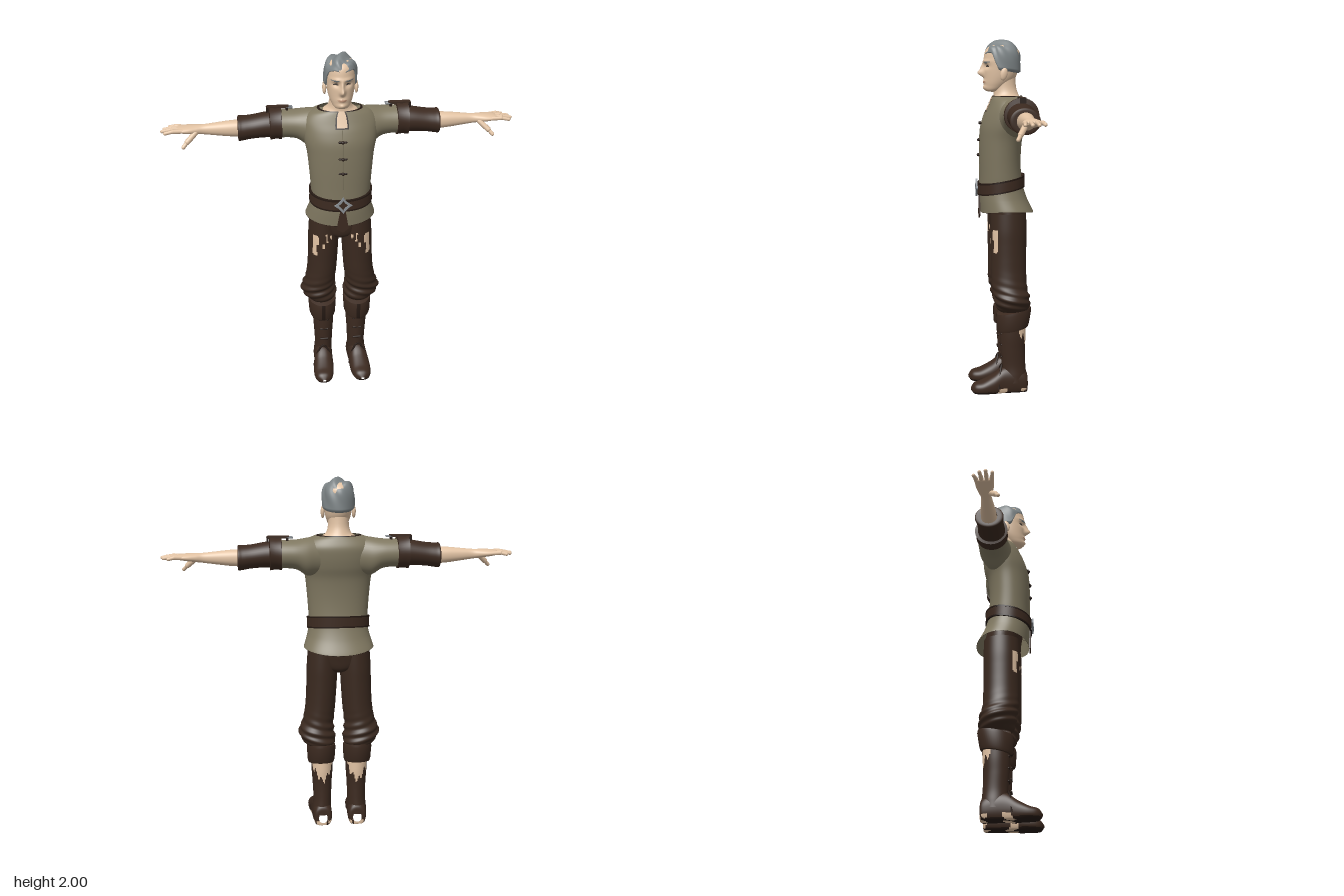
import * as THREE from 'three';
import { toCreasedNormals } from 'three/addons/utils/BufferGeometryUtils.js';

const mat = (name, color, side = THREE.FrontSide) => {
  const m = new THREE.MeshStandardMaterial({ color, side });
  m.name = name;
  return m;
};

// Closed tube-like surface; pick(angle, point) chooses the material of each face.
function surface(n, rows, point, pick = () => 0) {
  const pts = [], buckets = [];
  for (let j = 0; j <= rows; j++)
    for (let i = 0; i < n; i++) pts.push(point((i / n) * Math.PI * 2, j / rows));
  for (let j = 0; j < rows; j++)
    for (let i = 0; i < n; i++) {
      const a = j * n + i, b = j * n + ((i + 1) % n), c = b + n, d = a + n;
      const mid = [0, 1, 2].map(k => (pts[a][k] + pts[b][k] + pts[c][k] + pts[d][k]) / 4);
      let ang = ((i + 0.5) / n) * Math.PI * 2;
      if (ang > Math.PI) ang -= Math.PI * 2;
      (buckets[pick(ang, mid)] ??= []).push(a, b, c, a, c, d);
    }
  const g = new THREE.BufferGeometry(), index = [];
  g.setAttribute('position', new THREE.Float32BufferAttribute(pts.flat(), 3));
  buckets.forEach((f, k) => {
    g.addGroup(index.length, f.length, k);
    for (const v of f) index.push(v);
  });
  g.setIndex(index);
  g.computeVertexNormals();
  return g;
}

// Smooth loft through elliptical sections [t, centreU, centreV, radiusU, radiusV].
function loft(axis, secs, { n = 32, steps = 4, p = 2, bend, pick } = {}) {
  const last = secs.length - 1;
  const at = s => {
    const f = s * last, i = Math.min(Math.floor(f + 1e-9), last - 1), t = f - i;
    const [A, B, C, D] = [-1, 0, 1, 2].map(k => secs[Math.min(last, Math.max(0, i + k))]);
    return B.map((b, k) => b + 0.5 * t * (C[k] - A[k] + t * (2 * A[k] - 5 * b + 4 * C[k] - D[k] + t * (3 * (b - C[k]) + D[k] - A[k]))));
  };
  const pw = v => Math.sign(v) * Math.abs(v) ** (2 / p);
  return surface(n, last * steps, (a, s) => {
    const [t, cu, cv, ru, rv] = at(s);
    const u = cu + ru * pw(Math.sin(a)), v = cv + rv * pw(Math.cos(a));
    const q = axis === 'y' ? [u, t, v] : axis === 'x' ? [t, v, u] : [v, u, t];
    if (bend) bend(q, a);
    return q;
  }, pick);
}

const crisp = g => toCreasedNormals(g, 0.6);

// Rounded rod between two points
function rod(a, b, r) {
  const A = new THREE.Vector3(...a), B = new THREE.Vector3(...b), d = B.clone().sub(A);
  const g = new THREE.CapsuleGeometry(r, d.length(), 4, 10);
  g.applyQuaternion(new THREE.Quaternion().setFromUnitVectors(new THREE.Vector3(0, 1, 0), d.normalize()));
  const c = A.add(B).multiplyScalar(0.5);
  return g.translate(c.x, c.y, c.z);
}

const box = (w, h, d, x, y, z) => new THREE.BoxGeometry(w, h, d).translate(x, y, z);

function mirrored(geo) {
  const g = geo.clone().scale(-1, 1, 1);
  if (!g.index) g.setIndex([...Array(g.attributes.position.count).keys()]);
  const ix = g.index;
  for (let i = 0; i < ix.count; i += 3) {
    const b = ix.getX(i + 1);
    ix.setX(i + 1, ix.getX(i + 2));
    ix.setX(i + 2, b);
  }
  return g;
}

export function createModel() {
  const model = new THREE.Group();
  model.name = 'villager';
  const skin = mat('skin', 0xe2c3a4), shirt = mat('shirt cloth', 0x7f7760, THREE.DoubleSide);
  const cloth = mat('trouser cloth', 0x3a291f, THREE.DoubleSide), leather = mat('leather', 0x3c2a20, THREE.DoubleSide);
  const hair = mat('grey hair', 0x7e8587), metal = mat('metal', 0x8a8f94), trim = mat('dark trim', 0x251913);
  const lips = mat('lips', 0xc09378), eyes = mat('eyes', 0x4a423c);

  const add = (name, geo, m) => {
    const mesh = new THREE.Mesh(geo, m);
    mesh.name = name;
    model.add(mesh);
  };
  const both = (name, geo, m) => {
    add('left ' + name, geo, m);
    add('right ' + name, mirrored(geo), m);
  };

  // Head with sculpted face
  const bump = (q, x, y, wx, wy) => Math.exp(-(((Math.abs(q[0]) - x) / wx) ** 2) - ((q[1] - y) / wy) ** 2);
  add('head', loft('y', [
    [1.712, 0, 0.05, 0.004, 0.004], [1.72, 0, 0.045, 0.038, 0.042], [1.75, 0, 0.027, 0.057, 0.067],
    [1.79, 0, 0.01, 0.07, 0.087], [1.84, 0, 0.003, 0.077, 0.097], [1.89, 0, 0, 0.08, 0.1],
    [1.94, 0, -0.003, 0.075, 0.093], [1.97, 0, -0.005, 0.05, 0.06], [1.98, 0, -0.005, 0.005, 0.005]], {
    n: 96, steps: 10,
    bend: q => {
      if (q[2] < 0.03) return;
      q[2] += 0.032 * bump(q, 0, 1.815, 0.013, 0.018) + 0.018 * bump(q, 0, 1.845, 0.009, 0.025)
        - 0.012 * bump(q, 0.033, 1.853, 0.02, 0.014) + 0.006 * bump(q, 0.03, 1.88, 0.03, 0.01)
        + 0.009 * bump(q, 0, 1.768, 0.022, 0.012) + 0.012 * bump(q, 0, 1.737, 0.022, 0.014);
    },
    pick: (a, q) => {
      if (q[2] < 0.03) return 0;
      const x = Math.abs(q[0]);
      if (Math.hypot((x - 0.034) / 0.015, (q[1] - 1.853) / 0.005) < 1) return 3;
      if (Math.hypot((x - 0.036) / 0.023, (q[1] - 1.877) / 0.005) < 1) return 1;
      return Math.hypot(x / 0.024, (q[1] - 1.768) / 0.007) < 1 ? 2 : 0;
    }
  }), [skin, hair, lips, eyes]);
  add('neck', loft('y', [[1.62, 0, -0.03, 0.115, 0.085], [1.675, 0, -0.03, 0.1, 0.077], [1.7, 0, -0.025, 0.07, 0.07],
    [1.74, 0, -0.017, 0.058, 0.065], [1.8, 0, -0.012, 0.057, 0.065]]), skin);
  both('ear', new THREE.SphereGeometry(1, 16, 12).scale(0.011, 0.036, 0.02).rotateX(-0.2).translate(0.086, 1.812, -0.005), skin);

  // Wavy swept hair with a high front hairline
  add('hair', surface(72, 28, (a, s) => {
    const c = Math.cos(a);
    const base = 1.83 + 0.09 * THREE.MathUtils.smoothstep(c, 0.2, 0.7) - 0.015 * Math.max(0, -c);
    const y = base + (1.99 - base) * Math.sin((s * Math.PI) / 2);
    const u = Math.min(1, Math.max(0, (y - 1.87) / 0.12));
    const r = (1 - u ** 2.6) ** (1 / 2.6) * (s === 0 ? 0.88 : 1) * (1 + 0.035 * Math.sin(7 * a + 10 * s) * Math.sin(Math.PI * s));
    const x = 0.09 * r * Math.sin(a), z = -0.003 + 0.104 * r * c;
    return [x, y + 0.01 * u * Math.sin(x * 70 + z * 35 + 1), z];
  }), hair);

  // Shirt body with a trimmed hem and an open neck slit
  add('shirt body', loft('y', [
    [1.035, 0, -0.03, 0.197, 0.15], [1.045, 0, -0.028, 0.196, 0.149], [1.11, 0, -0.01, 0.18, 0.135],
    [1.18, 0, 0.002, 0.166, 0.124], [1.25, 0, 0.008, 0.168, 0.118], [1.35, 0, 0.01, 0.175, 0.117],
    [1.45, 0, 0.005, 0.185, 0.12], [1.52, 0, -0.008, 0.2, 0.127], [1.58, 0, -0.022, 0.208, 0.123],
    [1.63, 0, -0.033, 0.205, 0.112], [1.67, 0, -0.033, 0.17, 0.095], [1.692, 0, -0.03, 0.112, 0.083]], {
    n: 160, steps: 7, p: 2.15,
    bend: (q, a) => { if (q[1] < 1.12) q[1] += (1.12 - q[1]) * 0.25 * Math.sin(a) ** 2; },
    pick: (a, q) => {
      if (q[1] > 1.6 && Math.abs(a) < 0.1) return q[1] > 1.608 ? 2 : 1;
      if (q[1] > 1.6 && Math.abs(a) < 0.16) return 1;
      return q[1] > 1.688 || q[1] < 1.037 + 0.02 * Math.sin(a) ** 2 ? 1 : 0;
    }
  }), [shirt, trim, skin]);
  both('shirt sleeve', loft('x', [[0.06, -0.035, 1.58, 0.08, 0.105], [0.13, -0.045, 1.577, 0.09, 0.106],
    [0.18, -0.058, 1.575, 0.092, 0.103], [0.23, -0.067, 1.588, 0.087, 0.083], [0.28, -0.07, 1.592, 0.084, 0.077],
    [0.325, -0.07, 1.592, 0.083, 0.077]], { n: 40, steps: 5 }), shirt);
  [1.54, 1.445, 1.36].forEach((y, i) => {
    const z = [0.118, 0.126, 0.128][i];
    add('toggle', rod([-0.018, y, z], [0.018, y, z], 0.006), trim);
    add('toggle knot', new THREE.SphereGeometry(0.009, 10, 8).translate(0, y, z + 0.004), trim);
  });
  add('front seam', loft('y', [[1.22, 0, 0.122, 0.003, 0.004], [1.35, 0, 0.125, 0.003, 0.004],
    [1.45, 0, 0.123, 0.003, 0.004], [1.52, 0, 0.117, 0.003, 0.004], [1.6, 0, 0.094, 0.003, 0.004]], { n: 6 }), shirt);

  // Belt, tilted up toward the back, with hanging tail and star buckle
  const tilt = k => q => { q[1] -= q[2] * k; };
  const ring = (y, h, g) => [[y - h, 0, 0.004, 0.16 + g, 0.118 + g], [y - h, 0, 0.004, 0.172 + g, 0.129 + g],
    [y + h, 0, 0.004, 0.172 + g, 0.129 + g], [y + h, 0, 0.004, 0.16 + g, 0.118 + g]];
  add('belt', crisp(loft('y', ring(1.193, 0.03, 0.004), { n: 64, steps: 1, p: 2.15, bend: tilt(0.18) })), leather);
  for (const y of [1.164, 1.222])
    add('belt edge', crisp(loft('y', ring(y, 0.004, 0.006), { n: 64, steps: 1, p: 2.15, bend: tilt(0.18) })), trim);
  const tail = new THREE.Shape([[-0.012, 1.15], [-0.035, 1.02], [0, 1.0], [0.032, 1.025], [0.012, 1.15]].map(v => new THREE.Vector2(...v)));
  add('belt tail', new THREE.ExtrudeGeometry(tail, { depth: 0.008, bevelEnabled: false }).translate(0, 0, 0.123), leather);
  const star = (s, path) => {
    path.moveTo(s, 0);
    for (let i = 1; i <= 4; i++) {
      const a = (i * Math.PI) / 2, m = a - Math.PI / 4;
      path.quadraticCurveTo(0.5 * s * Math.cos(m), 0.5 * s * Math.sin(m), s * Math.cos(a), s * Math.sin(a));
    }
    return path;
  };
  const buckle = star(0.05, new THREE.Shape());
  buckle.holes.push(star(0.031, new THREE.Path()));
  add('belt buckle', new THREE.ExtrudeGeometry(buckle, { depth: 0.01, bevelEnabled: false }).translate(0, 1.175, 0.138), metal);

  // Trousers with worn holes in the thighs
  add('trouser seat', loft('y', [[0.915, 0, -0.03, 0.03, 0.06], [0.94, 0, -0.03, 0.11, 0.09], [0.99, 0, -0.03, 0.17, 0.1],
    [1.06, 0, -0.03, 0.172, 0.105], [1.15, 0, -0.01, 0.155, 0.1]], { n: 48 }), cloth);
  const tears = [[0.152, 0.82, 0.95, 0.011], [0.138, 0.89, 0.95, 0.006], [0.105, 0.865, 0.9, 0.005], [0.085, 0.91, 0.955, 0.006], [0.06, 0.92, 0.95, 0.005]];
  both('trouser leg', loft('y', [[0.48, 0.108, -0.055, 0.07, 0.08], [0.5, 0.113, -0.055, 0.09, 0.095],
    [0.53, 0.123, -0.05, 0.1, 0.1], [0.57, 0.13, -0.045, 0.1, 0.1], [0.62, 0.12, -0.033, 0.089, 0.1],
    [0.7, 0.108, -0.03, 0.086, 0.1], [0.78, 0.102, -0.03, 0.086, 0.1], [0.86, 0.098, -0.03, 0.087, 0.101],
    [0.94, 0.095, -0.03, 0.088, 0.102], [1.04, 0.09, -0.03, 0.086, 0.1]], {
    n: 80, steps: 10,
    bend: (q, a) => {
      const k = 0.005 * Math.exp(-(((q[1] - 0.56) / 0.07) ** 2)) * Math.sin(q[1] * 130 + 3 * a);
      q[0] += k * Math.sin(a);
      q[2] += k * Math.cos(a);
    },
    pick: (a, q) => q[2] > 0 && tears.some(([x, y0, y1, w]) => Math.abs(q[0] - x) < w && q[1] > y0 && q[1] < y1) ? 1 : 0
  }), [cloth, skin]);

  // Folded boot cuffs with a notch at the front
  both('boot cuff', crisp(loft('y', [[0.37, 0.105, -0.055, 0.055, 0.065], [0.37, 0.105, -0.055, 0.073, 0.086],
    [0.385, 0.105, -0.055, 0.078, 0.092], [0.46, 0.105, -0.06, 0.083, 0.1], [0.478, 0.105, -0.06, 0.081, 0.097],
    [0.482, 0.105, -0.06, 0.06, 0.07]], {
    n: 48, steps: 1, bend: q => { q[1] -= (q[2] + 0.055) * 0.2; },
    pick: (a, q) => Math.abs(a) < 0.14 && q[1] < 0.46 ? 1 : 0
  })), [leather, trim]);

  // Boots, torn open at the back of the calf
  both('boot shaft', loft('y', [[0.06, 0.105, -0.063, 0.056, 0.072], [0.1, 0.103, -0.063, 0.054, 0.07],
    [0.16, 0.1, -0.06, 0.052, 0.068], [0.25, 0.1, -0.055, 0.056, 0.07], [0.33, 0.1, -0.055, 0.061, 0.074],
    [0.42, 0.1, -0.055, 0.061, 0.074]], {
    n: 64, steps: 10,
    pick: (a, q) => {
      const back = Math.PI - Math.abs(a);
      return back < 1.15 && q[1] > 0.27 + 0.075 * back + 0.02 * Math.sin(a * 11) ? 1 : 0;
    }
  }), [leather, skin]);
  both('boot foot', loft('z', [[-0.14, 0.045, 0.1, 0.03, 0.025], [-0.13, 0.05, 0.1, 0.065, 0.05],
    [-0.07, 0.06, 0.103, 0.085, 0.056], [0, 0.06, 0.106, 0.085, 0.056], [0.06, 0.042, 0.11, 0.062, 0.06],
    [0.12, 0.03, 0.114, 0.042, 0.058], [0.165, 0.026, 0.116, 0.032, 0.043], [0.188, 0.024, 0.116, 0.006, 0.01]], {
    n: 64, steps: 7, p: 2.3,
    bend: q => { q[1] = Math.max(0, q[1]); },
    pick: (a, q) => {
      const worn = Math.sin(q[2] * 42 + 1) + 0.5 * Math.sin(q[0] * 90 + q[2] * 60);
      return q[1] < 0.028 && q[2] < 0.1 && worn > 0.55 ? 1 : q[1] < 0.012 ? 2 : 0;
    }
  }), [leather, skin, trim]);
  for (const y of [0.21, 0.28, 0.345]) both('boot lace', rod([0.078, y, 0.012], [0.122, y, 0.012], 0.006), trim);
  const arch = [[0.052, 0.03, 0.03], [0.068, 0.11, 0.022], [0.106, 0.16, 0.01], [0.146, 0.11, 0.022], [0.166, 0.03, 0.03]];
  both('boot seam', new THREE.TubeGeometry(new THREE.CatmullRomCurve3(arch.map(v => new THREE.Vector3(...v))), 24, 0.006, 6), trim);

  // Leather arm guards
  both('arm band', crisp(loft('x', [[0.315, -0.07, 1.596, 0.07, 0.07], [0.318, -0.07, 1.596, 0.09, 0.09],
    [0.35, -0.07, 1.597, 0.087, 0.087], [0.38, -0.07, 1.597, 0.092, 0.092], [0.385, -0.07, 1.597, 0.065, 0.065]], { n: 40, steps: 1 })), leather);
  both('arm guard', loft('x', [[0.36, -0.068, 1.592, 0.078, 0.073], [0.41, -0.067, 1.59, 0.075, 0.069],
    [0.48, -0.067, 1.582, 0.073, 0.065], [0.53, -0.067, 1.576, 0.076, 0.067], [0.553, -0.067, 1.575, 0.077, 0.067],
    [0.556, -0.067, 1.575, 0.045, 0.045]], { n: 40 }), leather);
  both('shoulder strap', box(0.12, 0.012, 0.032, 0.335, 1.686, -0.075), leather);
  for (const x of [0.285, 0.392]) both('strap end', box(0.012, 0.028, 0.034, x, 1.674, -0.075), trim);
  both('strap buckle', new THREE.TorusGeometry(0.02, 0.005, 6, 4).rotateZ(Math.PI / 4).rotateX(Math.PI / 2).translate(0.272, 1.684, -0.075), metal);

  // Bare forearms and hands
  both('forearm', loft('x', [[0.53, -0.069, 1.575, 0.044, 0.047], [0.6, -0.068, 1.576, 0.041, 0.043],
    [0.68, -0.067, 1.577, 0.033, 0.034], [0.74, -0.066, 1.578, 0.028, 0.027], [0.78, -0.066, 1.58, 0.037, 0.024],
    [0.82, -0.065, 1.582, 0.047, 0.021], [0.86, -0.065, 1.584, 0.049, 0.016], [0.88, -0.066, 1.584, 0.04, 0.011],
    [0.885, -0.066, 1.584, 0.005, 0.003]], { p: 2.2 }), skin);
  [[-0.028, -0.017, 0.945], [-0.052, -0.05, 0.962], [-0.077, -0.083, 0.953], [-0.102, -0.115, 0.925]].forEach(([z0, z1, x1]) => {
    const mx = (0.86 + x1) / 2, mz = (z0 + z1) / 2;
    both('finger base', rod([0.85, 1.584, z0], [mx, 1.587, mz], 0.0115), skin);
    both('finger tip', rod([mx, 1.587, mz], [x1, 1.58, z1], 0.0095), skin);
  });
  both('thumb base', rod([0.785, 1.568, -0.038], [0.83, 1.528, -0.01], 0.015), skin);
  both('thumb tip', rod([0.83, 1.528, -0.01], [0.852, 1.505, 0.005], 0.0105), skin);
  return model;
}
